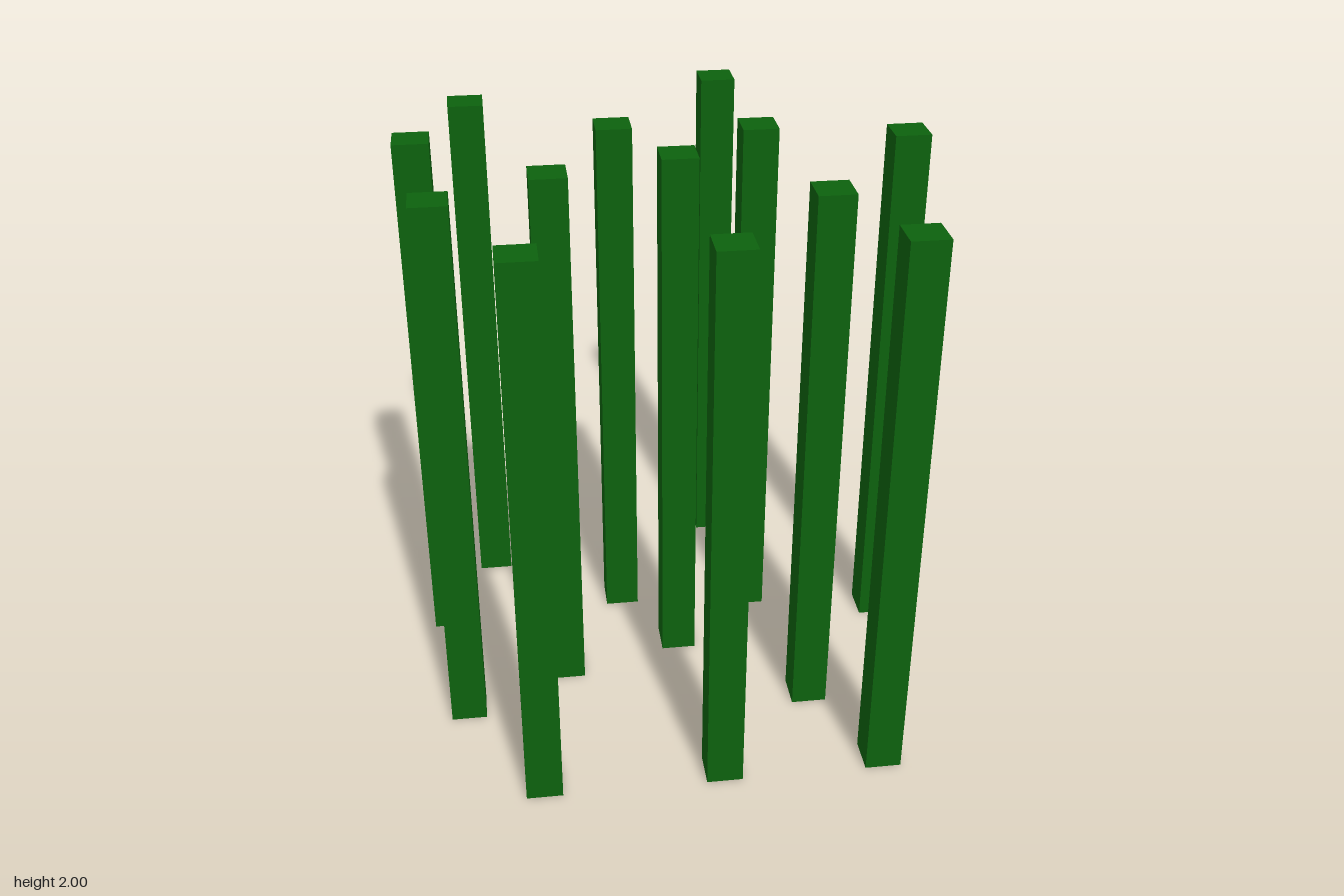
import * as THREE from 'three';

export function createModel() {
  const model = new THREE.Group();
  model.name = 'columns';

  const darkGreen = new THREE.MeshStandardMaterial({ color: 0x0d620e });
  darkGreen.name = 'darkGreen';

  // One square column, two grid cells wide, shared by all
  const cell = 1 / 16;
  const columnShape = new THREE.BoxGeometry(2 * cell, 2, 2 * cell);

  // Column centres [x, z] in grid cells, back to front
  const centres = [
    [4.5, -12.5], [-10.5, -9.5], [-2.5, -4.5], [-13.5, -3.5], [5.5, -3.5],
    [13.5, -1.5], [0.5, 0.5], [-6.5, 2.5], [-12.5, 5.5], [7.5, 6.5],
    [-8.5, 12.5], [1.5, 12.5], [10.5, 12.5],
  ];
  centres.forEach(([x, z], i) => {
    const column = new THREE.Mesh(columnShape, darkGreen);
    column.name = `column${i + 1}`;
    column.position.set(x * cell, 1, z * cell);
    model.add(column);
  });

  return model;
}
